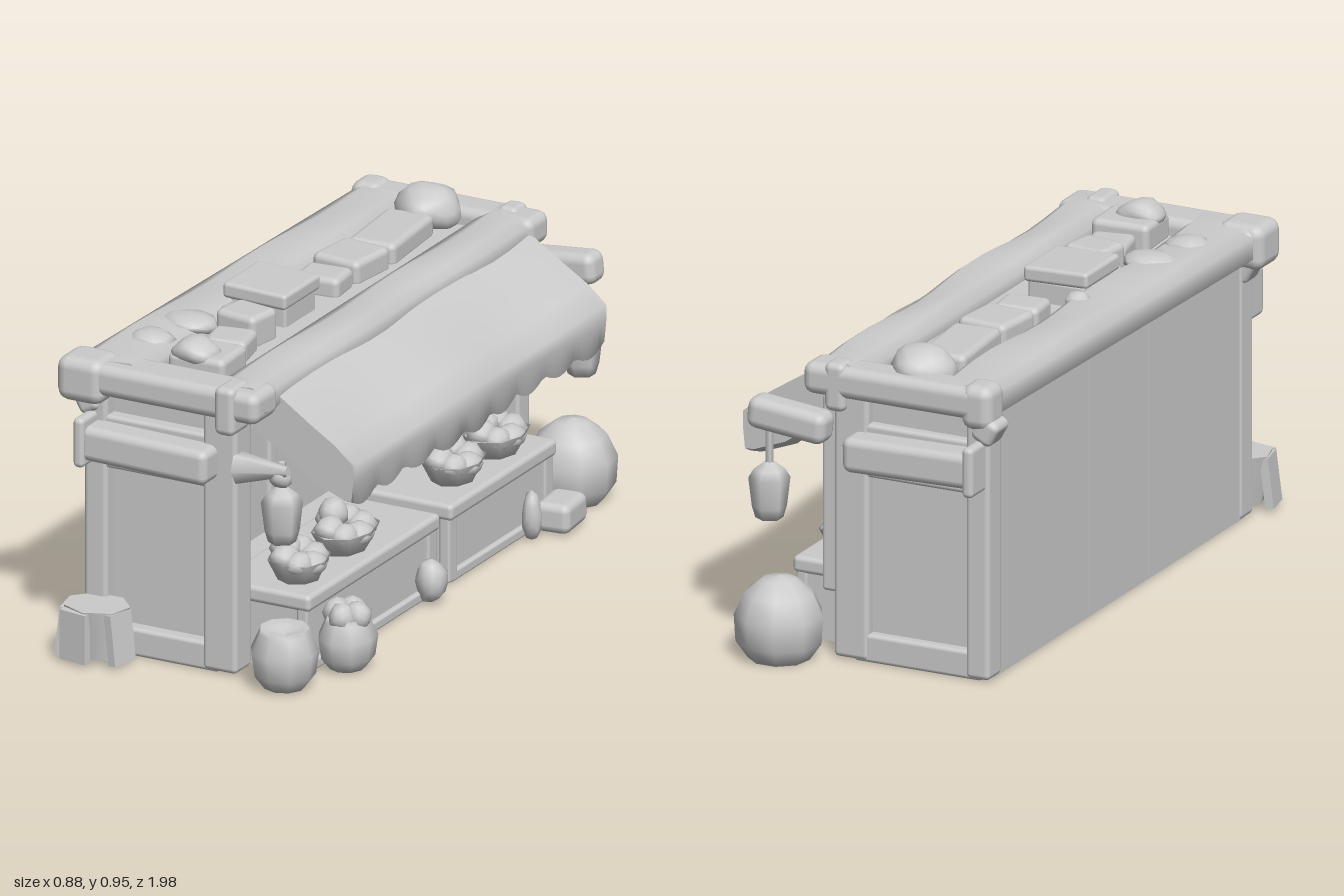
import * as THREE from 'three';
import { mergeVertices } from 'three/addons/utils/BufferGeometryUtils.js';
import { RoundedBoxGeometry } from 'three/addons/geometries/RoundedBoxGeometry.js';

export function createModel() {
  const root = new THREE.Group();
  const mat = new THREE.MeshStandardMaterial({ color: 0xcccccc, side: THREE.DoubleSide });

  const add = (name, geo, x = 0, y = 0, z = 0) => {
    const m = new THREE.Mesh(geo, mat);
    m.name = name;
    m.position.set(x, y, z);
    root.add(m);
    return m;
  };
  // Box given by its limits on each axis
  const box = (name, x0, x1, y0, y1, z0, z1, r = 0) => {
    const s = [x1 - x0, y1 - y0, z1 - z0];
    const geo = r ? new RoundedBoxGeometry(...s, 2, r) : new THREE.BoxGeometry(...s);
    return add(name, geo, (x0 + x1) / 2, (y0 + y1) / 2, (z0 + z1) / 2);
  };
  // Lumpy rounded form, used for sacks and produce
  const lump = (name, x, y, z, rx, ry, rz, seed = 0, detail = 2, amount = 0.1) => {
    let g = new THREE.IcosahedronGeometry(1, detail);
    g.deleteAttribute('normal');
    g.deleteAttribute('uv');
    g = mergeVertices(g, 1e-4);
    const p = g.attributes.position;
    for (let i = 0; i < p.count; i++) {
      const a = p.getX(i), b = p.getY(i), c = p.getZ(i);
      const k = 1 + amount * Math.sin(4 * a + seed) * Math.cos(3 * b - seed) + amount * 0.5 * Math.sin(5 * c + 2 * seed);
      p.setXYZ(i, a * rx * k, b * ry * k, c * rz * k);
    }
    g.computeVertexNormals();
    return add(name, g, x, y, z);
  };
  const lathe = (name, pts, x, y, z, sides = 8) =>
    add(name, new THREE.LatheGeometry(pts.map(p => new THREE.Vector2(...p)), sides), x, y, z);
  // Smooth loft of equal-length xy profiles along z, with closed ends
  const loft = (name, zs, profileAt) => {
    const pos = [], idx = [], n = profileAt(zs[0]).length;
    zs.forEach(z => profileAt(z).forEach(([x, y]) => pos.push(x, y, z)));
    for (let i = 0; i < zs.length - 1; i++) for (let j = 0; j < n; j++) {
      const a = i * n + j, b = i * n + (j + 1) % n;
      idx.push(a, b, b + n, a, b + n, a + n);
    }
    for (const e of [0, zs.length - 1]) {
      const start = pos.length / 3, ring = profileAt(zs[e]);
      ring.forEach(([x, y]) => pos.push(x, y, zs[e]));
      THREE.ShapeUtils.triangulateShape(ring.map(p => new THREE.Vector2(...p)), [])
        .forEach(([a, b, c]) => e ? idx.push(start + a, start + b, start + c) : idx.push(start + a, start + c, start + b));
    }
    const g = new THREE.BufferGeometry();
    g.setAttribute('position', new THREE.Float32BufferAttribute(pos, 3));
    g.setIndex(idx);
    g.computeVertexNormals();
    return add(name, g);
  };

  // Hollow stall: floor, thin rear wall in three bays and end walls
  box('floor', -0.38, 0, 0.01, 0.03, -0.77, 0.8);
  box('rearWall', -0.38, -0.35, 0.01, 0.82, -0.77, 0.8);
  box('frontEndWall', -0.38, 0.05, 0.01, 0.82, 0.75, 0.8);
  box('backEndWall', -0.38, 0.05, 0.01, 0.82, -0.77, -0.725);
  for (const z of [0.2, -0.17]) {
    box('rearWallPost', -0.36, -0.33, 0.01, 0.82, z - 0.025, z + 0.025, 0.012);
    box('rearSeam', -0.384, -0.37, 0.02, 0.8, z - 0.004, z + 0.004);
  }

  // Both ends: framed panel, rolled blind and top beam
  for (const s of [1, -1]) {
    const z = s > 0 ? 0.84 : -0.8;
    const slab = (name, x0, x1, y0, y1, a, b, r) =>
      box(name, x0, x1, y0, y1, Math.min(z + s * a, z + s * b), Math.max(z + s * a, z + s * b), r);
    slab('cornerPost', 0, 0.11, 0.01, 0.84, -0.09, 0.005, 0.015);
    slab('rearPost', -0.385, -0.31, 0.01, 0.84, -0.08, 0.005, 0.015);
    slab('endSill', -0.36, 0.05, 0.005, 0.09, -0.08, 0, 0.012);
    slab('endLintel', -0.36, 0.05, 0.56, 0.72, -0.08, 0, 0.012);
    slab('rollBlind', -0.36, 0.05, 0.595, 0.7, -0.03, 0.08, 0.025).rotation.z = -0.02;
    slab('rollBlindEnd', -0.375, -0.34, 0.58, 0.73, -0.02, 0.09, 0.015);
    slab('topBeam', s > 0 ? -0.43 : -0.38, 0.2, 0.79, 0.885, -0.09, s > 0 ? 0.05 : 0.03, 0.03);
    slab('rearBeamEnd', s > 0 ? -0.45 : -0.4, -0.3, 0.76, 0.895, -0.08, s > 0 ? 0.06 : 0.03, 0.035);
    slab('frontBeamEnd', 0.065, 0.13, 0.75, 0.895, -0.05, s > 0 ? 0.06 : 0.03, 0.02);
    // Bracing under the overhanging corner of the roof
    slab('cornerBrace', -0.41, -0.34, 0.72, 0.8, -0.07, 0.02, 0.02).rotation.z = 0.5;
  }
  box('innerPost', 0.08, 0.15, 0.2, 0.82, -0.8, -0.73, 0.012);

  // Sunken roof deck between the raised edge beams
  box('roofDeck', -0.36, 0.12, 0.78, 0.835, -0.77, 0.8);
  const beam = (x0, x1, flare) => z => {
    const w = 0.006 * Math.sin(z * 9), a = x0 - flare * (z + 0.8), b = x1 + w;
    return [[a, 0.8], [a + 0.04, 0.77], [b - 0.03, 0.785], [b, 0.82], [b - 0.01, 0.865 + w / 2], [b - 0.04, 0.885 + w], [a + 0.04, 0.885 - w], [a, 0.865]];
  };
  const beamZ = Array.from({ length: 17 }, (_, i) => -0.8 + i * 0.1025);
  loft('rearEave', beamZ, beam(-0.39, -0.2, 0.022));
  loft('frontEave', beamZ, beam(0.025, 0.195, 0));

  // Sloping awning with a scalloped valance
  const awnZ = Array.from({ length: 61 }, (_, i) => -0.73 + i * 1.47 / 60);
  loft('awning', awnZ, z => {
    const scallop = 0.028 * Math.abs(Math.sin((z + 0.73) / 1.47 * Math.PI * 9));
    const w = 0.007 * Math.sin(z * 8 + 1);
    return [[0.12, 0.72], [0.2, 0.67], [0.3, 0.6 - scallop], [0.4, 0.562 - scallop], [0.422 + w, 0.56 - scallop],
      [0.428 + w, 0.62], [0.428 + w, 0.665 + w], [0.37 + w, 0.715 + w], [0.28, 0.775 + w], [0.19, 0.84], [0.12, 0.85]];
  });

  // Two front counters with a gap between them
  for (const [z0, z1] of [[-0.02, 0.75], [-0.7, -0.08]]) {
    box('counter', -0.01, 0.27, 0.008, 0.205, z0 + 0.015, z1 - 0.015);
    box('counterTop', -0.01, 0.295, 0.2, 0.25, z0, z1, 0.015);
    for (const z of [z0 + 0.03, z1 - 0.03]) box('counterLeg', 0.25, 0.285, 0.01, 0.21, z - 0.025, z + 0.025, 0.008);
    box('counterFoot', 0.25, 0.285, 0.008, 0.04, z0 + 0.02, z1 - 0.02, 0.008);
  }

  // Baskets heaped with produce
  [[0.62, 0.1, 0.37], [0.35, 0.125, 0.39], [-0.28, 0.11, 0.42], [-0.53, 0.12, 0.365]].forEach(([z, r, top], k) => {
    const b = lathe('basket', [[0, 0], [0.06, 0], [0.09, 0.065], [0.08, 0.06], [0, 0.055]], 0.19, 0.248, z);
    b.scale.z = r / 0.09;
    for (let i = 0; i < 6; i++) {
      const a = i * 1.05 + k;
      lump('produce', 0.19 + 0.045 * Math.cos(a), 0.315 - 0.015 * Math.cos(a), z + r * 0.5 * Math.sin(a), 0.042, 0.035, 0.048, i + k, 1);
    }
    lump('produce', 0.15, top - 0.04, z, 0.045, 0.042, 0.048, k, 1);
  });

  // Hanging lanterns on brackets
  const lanternShape = [[0, 0], [0.04, 0], [0.05, 0.035], [0.06, 0.12], [0.045, 0.145], [0.018, 0.165], [0, 0.17]];
  lathe('lantern', lanternShape, 0.24, 0.43, 0.81, 6);
  lathe('lantern', lanternShape, 0.3, 0.405, -0.83, 6);
  const bracket = add('lanternBracket', new THREE.CylinderGeometry(0.015, 0.048, 0.16, 6), 0.19, 0.645, 0.83);
  bracket.rotation.z = -Math.PI / 2 + 0.1;
  lump('bracketKnob', 0.24, 0.63, 0.82, 0.035, 0.035, 0.03, 1, 1);
  const arm = box('lanternBracket', 0.1, 0.35, 0.67, 0.765, -0.89, -0.8, 0.03);
  arm.rotation.z = 0.1;
  for (const [x, y, z] of [[0.24, 0.61, 0.81], [0.3, 0.63, -0.83]])
    add('lanternHook', new THREE.CylinderGeometry(0.012, 0.012, 0.12, 5), x, y, z);

  // Sacks, pots and crates on the ground
  const sack = [[0, 0], [0.09, 0], [0.125, 0.05], [0.13, 0.13], [0.1, 0.195], [0.05, 0.235], [0, 0.245]];
  lathe('largeSack', sack, 0.25, 0.005, -0.865, 9);
  const pot = [[0, 0], [0.06, 0], [0.09, 0.04], [0.1, 0.11], [0.075, 0.165], [0.07, 0.18], [0.05, 0.165], [0, 0.155]];
  lathe('pot', pot, 0.27, 0.01, 0.85, 9);
  lathe('pot', pot, 0.35, 0.01, 0.625, 9).scale.set(0.85, 0.87, 0.95);
  for (let i = 0; i < 4; i++)
    lump('potFilling', 0.35 + 0.035 * Math.cos(i * 1.57), 0.17, 0.625 + 0.035 * Math.sin(i * 1.57), 0.04, 0.042, 0.04, i, 1);
  lump('smallSack', 0.31, 0.075, 0.06, 0.045, 0.065, 0.05, 3, 1);
  lump('smallSack', 0.31, 0.08, -0.52, 0.03, 0.075, 0.03, 1, 1);
  box('crate', 0.28, 0.39, 0.01, 0.1, -0.72, -0.57, 0.025).rotation.y = 0.1;
  const stool = add('drapedStool', new THREE.CylinderGeometry(0.1, 0.075, 0.15, 7), -0.31, 0.095, 0.9);
  stool.scale.z = 0.85;
  for (const [x, z, ry, tilt] of [[-0.4, 0.92, 0.2, -0.12], [-0.225, 0.92, -0.2, 0.12], [-0.34, 0.975, 1.4, 0]]) {
    const flap = add('drape', new THREE.BoxGeometry(0.025, 0.15, 0.09), x, 0.09, z);
    flap.rotation.set(0, ry, tilt);
  }

  // Goods stored on the roof: x, z, width, top height, depth, turn
  [[-0.08, 0.67, 0.18, 0.91, 0.16, 0.05], [-0.1, 0.5, 0.13, 0.895, 0.13, 0.2], [-0.12, 0.37, 0.14, 0.925, 0.12, -0.15],
    [-0.12, -0.08, 0.14, 0.89, 0.12, 0.1], [-0.12, -0.24, 0.16, 0.9, 0.17, -0.1], [-0.12, -0.47, 0.15, 0.895, 0.28, 0.08]]
    .forEach(([x, z, w, top, d, turn]) => {
      box('roofCrate', x - w / 2, x + w / 2, 0.82, top, z - d / 2, z + d / 2, 0.02).rotation.y = turn;
    });
  box('roofChest', -0.24, -0.06, 0.82, 0.9, 0.07, 0.25, 0.01);
  box('roofChestLid', -0.255, -0.05, 0.895, 0.942, 0.06, 0.27, 0.012).rotation.z = -0.03;
  lump('roofSack', -0.12, 0.88, -0.69, 0.1, 0.068, 0.1, 4);
  lump('roofSack', -0.1, 0.91, 0.7, 0.07, 0.04, 0.06, 2);
  for (const [x, z, s] of [[-0.27, 0.43, 0.09], [-0.3, 0.6, 0.07], [-0.19, 0.3, 0.05], [-0.24, 0.03, 0.04]])
    lump('roofBundle', x, 0.875, z, s, 0.028, s * 0.8, z * 9, 1);
  return root;
}
